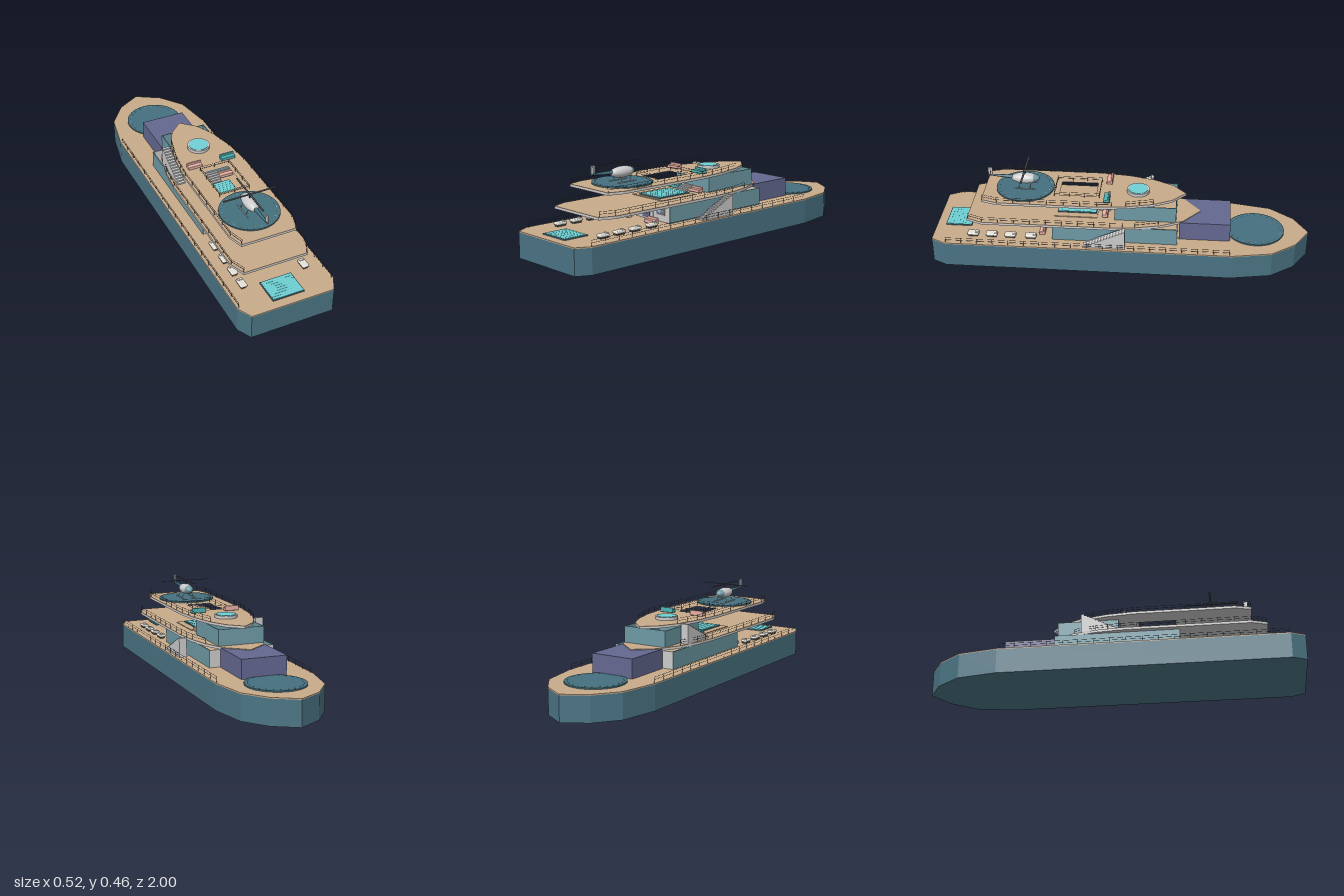
import * as THREE from 'three';
import { RoundedBoxGeometry } from 'three/addons/geometries/RoundedBoxGeometry.js';

const mat = (color, extra = {}) => new THREE.MeshStandardMaterial({ color, ...extra });
const M = {
  grey: mat(0xcccccc), hull: mat(0x4b7484), tan: mat(0xc8aa8a), pad: mat(0x44707f),
  glass: mat(0x6f9aa5, { side: THREE.DoubleSide }), purple: mat(0x646890), water: mat(0x6fd0d4),
  pink: mat(0xe8b0a4), teal: mat(0x4fb3b5), white: mat(0xe6e2da), dark: mat(0x4a4a4a),
};

export function createModel() {
  const root = new THREE.Group();
  root.name = 'yacht';

  const add = (name, geo, material, x = 0, y = 0, z = 0, parent = root) => {
    const m = new THREE.Mesh(geo, material);
    m.name = name;
    m.position.set(x, y, z);
    parent.add(m);
    return m;
  };
  // box given by its ranges on x, y and z
  const box = (name, material, [x0, x1], [y0, y1], [z0, z1], parent = root) =>
    add(name, new THREE.BoxGeometry(x1 - x0, y1 - y0, z1 - z0), material,
      (x0 + x1) / 2, (y0 + y1) / 2, (z0 + z1) / 2, parent);
  const disc = (name, material, r, y0, y1, x, z, parent = root) =>
    add(name, new THREE.CylinderGeometry(r, r, y1 - y0, 40), material, x, (y0 + y1) / 2, z, parent);
  // thin round bar between two points
  const bar = (name, material, a, b, r, parent = root) => {
    const p = new THREE.Vector3(...a), q = new THREE.Vector3(...b), d = q.clone().sub(p);
    const m = add(name, new THREE.CylinderGeometry(r, r, d.length(), 6), material, 0, 0, 0, parent);
    m.position.copy(p).add(q).multiplyScalar(0.5);
    m.quaternion.setFromUnitVectors(new THREE.Vector3(0, 1, 0), d.normalize());
    return m;
  };
  // flat slab from a half outline of [x, z], mirrored across x = 0
  const slab = (name, material, half, y0, y1, hole) => {
    const pts = [...half, ...half.filter(p => p[0] > 0).reverse().map(([x, z]) => [-x, z])];
    const shape = new THREE.Shape(pts.map(([x, z]) => new THREE.Vector2(x, -z)));
    if (hole) {
      const [w, z0, z1] = hole;
      shape.holes.push(new THREE.Path([[-w, -z0], [w, -z0], [w, -z1], [-w, -z1]].map(p => new THREE.Vector2(...p))));
    }
    const g = new THREE.ExtrudeGeometry(shape, { depth: y1 - y0, bevelEnabled: false });
    return add(name, g.rotateX(-Math.PI / 2), material, 0, y0, 0);
  };
  // railing along a path of [x, z]
  const railing = (name, path, y, h) => {
    const g = new THREE.Group();
    g.name = name;
    root.add(g);
    for (let i = 0; i < path.length - 1; i++) {
      const [ax, az] = path[i], [bx, bz] = path[i + 1];
      for (const f of [0.55, 1]) bar('rail', M.dark, [ax, y + h * f, az], [bx, y + h * f, bz], 0.0009, g);
      const n = Math.max(1, Math.round(Math.hypot(bx - ax, bz - az) / 0.085));
      for (let k = 0; k <= n; k++) {
        const x = ax + (bx - ax) * k / n, z = az + (bz - az) * k / n;
        bar('railPost', M.dark, [x, y, z], [x, y + h, z], 0.0012, g);
      }
    }
  };
  const mirrorRail = (name, path, y, h) => {
    for (const s of [-1, 1]) railing(name, path.map(([x, z]) => [s * x, z]), y, h);
  };

  // hull and three decks
  const hull = [[0, -1], [0.127, -0.925], [0.222, -0.8], [0.262, -0.59], [0.262, 0.925], [0.223, 1]];
  const deck2 = [[0, -0.42], [0.11, -0.33], [0.165, -0.21], [0.195, -0.08], [0.208, 0.05], [0.208, 0.73], [0.175, 0.815]];
  const deck3 = [[0, -0.34], [0.075, -0.27], [0.125, -0.17], [0.16, -0.03], [0.176, 0.12], [0.176, 0.65], [0.15, 0.735]];
  const opening = [0.07, 0.135, 0.33];
  slab('hull', M.hull, hull, 0, 0.133);
  slab('mainDeck', M.tan, hull, 0.133, 0.139);
  slab('middleDeckBase', M.grey, deck2, 0.231, 0.242);
  slab('middleDeck', M.tan, deck2, 0.242, 0.245);
  slab('upperDeckBase', M.grey, deck3, 0.336, 0.347, opening);
  slab('upperDeck', M.tan, deck3, 0.347, 0.35, opening);
  mirrorRail('mainRailing', [[0.253, -0.58], [0.253, 0.92]], 0.139, 0.028);
  mirrorRail('middleRailing', [[0.16, -0.2], [0.19, -0.08], [0.202, 0.05], [0.202, 0.73], [0.172, 0.808]], 0.245, 0.027);
  mirrorRail('upperRailing', [[0.12, -0.17], [0.155, -0.03], [0.17, 0.12], [0.17, 0.65], [0.146, 0.73]], 0.35, 0.027);
  railing('openingRailing', [[-0.083, 0.115], [-0.083, 0.355], [0.083, 0.355], [0.083, 0.115], [-0.083, 0.115]], 0.35, 0.025);

  // cabins with thin walls, and the forward cabin block
  for (const s of [-1, 1]) {
    box('lowerCabinSide', M.glass, [s * 0.177 - 0.003, s * 0.177 + 0.003], [0.139, 0.231], [-0.3, 0.36]);
    box('upperCabinSide', M.glass, [s * 0.125 - 0.002, s * 0.125 + 0.002], [0.245, 0.332], [-0.29, 0.03]);
  }
  box('lowerCabinFront', M.grey, [-0.174, 0.174], [0.139, 0.231], [0.35, 0.357]);
  box('lowerCabinBack', M.grey, [-0.179, 0.179], [0.139, 0.231], [-0.302, -0.296]);
  box('upperCabinFront', M.glass, [-0.127, 0.127], [0.245, 0.332], [0.026, 0.031]);
  box('upperCabinBack', M.glass, [-0.127, 0.127], [0.245, 0.332], [-0.293, -0.289]);
  box('forwardCabin', M.purple, [-0.122, 0.122], [0.139, 0.241], [-0.58, -0.31]);

  // double door in its surround
  box('doorSurround', M.grey, [-0.05, 0.05], [0.139, 0.231], [0.357, 0.36]);
  for (const s of [-1, 1]) {
    box('doorLeaf', M.purple, [s * 0.014 - 0.0136, s * 0.014 + 0.0136], [0.145, 0.229], [0.36, 0.363]);
    bar('doorHandle', M.grey, [s * 0.004, 0.165, 0.366], [s * 0.004, 0.203, 0.366], 0.0015);
  }

  // framed pictures either side of the door
  let seed = 7;
  const rnd = () => (seed = (seed * 16807) % 2147483647) / 2147483647;
  for (const s of [-1, 1]) {
    box('pictureFrame', M.tan, [s * 0.108 - 0.031, s * 0.108 + 0.031], [0.172, 0.217], [0.357, 0.36]);
    box('pictureCanvas', M.purple, [s * 0.108 - 0.028, s * 0.108 + 0.028], [0.175, 0.214], [0.36, 0.361]);
    for (let i = 0; i < 14; i++) {
      add('pictureSpot', new THREE.CircleGeometry(0.003 + rnd() * 0.002, 8), [M.pink, M.white, M.teal][i % 3],
        s * 0.108 + (rnd() - 0.5) * 0.04, 0.195 + (rnd() - 0.5) * 0.026, 0.3615 + i * 0.0001);
    }
  }

  // solid stairs climbing towards -z
  const stairs = (name, x, w, y0, y1, z0, z1, n, parent = root) => {
    const s = new THREE.Shape();
    s.moveTo(-z0, y0);
    for (let i = 0; i < n; i++) {
      const y = y0 + (y1 - y0) * (i + 1) / n;
      s.lineTo(-(z0 + (z1 - z0) * i / n), y);
      s.lineTo(-(z0 + (z1 - z0) * (i + 1) / n), y);
    }
    s.lineTo(-z1, y0);
    const g = new THREE.ExtrudeGeometry(s, { depth: w, bevelEnabled: false }).rotateY(Math.PI / 2);
    add(name, g, M.grey, x - w / 2, 0, 0, parent);
  };
  stairs('lowerStairs', 0.223, 0.042, 0.139, 0.243, 0.19, -0.03, 14);
  stairs('upperStairs', -0.16, 0.042, 0.245, 0.349, 0.05, -0.16, 14);
  stairs('poolSteps', 0, 0.08, 0.245, 0.278, 0.12, 0.06, 5);

  // pools with a raised rim
  const pool = (name, y, w, z0, z1, lines) => {
    const g = new THREE.Group();
    g.name = name;
    root.add(g);
    box('poolRim', M.pad, [-w - 0.004, w + 0.004], [y, y + 0.006], [z0 - 0.004, z1 + 0.004], g);
    box('poolWater', M.water, [-w, w], [y + 0.001, y + 0.0075], [z0, z1], g);
    for (let i = 1; i < lines; i++) {
      const z = z0 + (z1 - z0) * i / lines;
      box('poolLine', M.teal, [-w, w], [y + 0.007, y + 0.0079], [z - 0.0006, z + 0.0006], g);
    }
  };
  box('middlePoolBase', M.tan, [-0.118, 0.118], [0.245, 0.249], [0.125, 0.355]);
  pool('mainPool', 0.139, 0.082, 0.815, 0.948, 8);
  pool('middlePool', 0.249, 0.076, 0.135, 0.335, 12);

  // round tub on the upper deck
  disc('tubWall', M.grey, 0.06, 0.35, 0.366, 0, -0.085);
  disc('tubWater', M.water, 0.052, 0.352, 0.368, 0, -0.085);

  // helicopter pads with edge lights
  const pad = (name, y, z) => {
    disc(name, M.pad, 0.155, y, y + 0.007, 0, z);
    for (let i = 0; i < 24; i++) {
      const a = i * Math.PI / 12;
      disc('padLight', M.grey, 0.0025, y + 0.006, y + 0.009, Math.cos(a) * 0.138, z + Math.sin(a) * 0.138);
    }
  };
  pad('bowPad', 0.139, -0.715);
  pad('upperPad', 0.35, 0.52);

  // sofas: base, seat cushion and backrest
  const sofa = (material, x, y, z, w = 0.08, h = 0.025) => {
    const g = new THREE.Group();
    g.name = 'sofa';
    g.position.set(x, y, z);
    root.add(g);
    add('sofaSeat', new RoundedBoxGeometry(w, h * 0.6, 0.03, 2, 0.003), material, 0, h * 0.3 + 0.002, 0, g);
    add('sofaBack', new RoundedBoxGeometry(w, h, 0.01, 2, 0.003), material, 0, h * 0.5 + 0.002, -0.012, g);
  };
  sofa(M.pink, -0.095, 0.35, 0.075, 0.08, 0.028);
  sofa(M.teal, 0.095, 0.35, 0.075, 0.08, 0.028);
  sofa(M.teal, -0.08, 0.249, 0.085, 0.078, 0.028);
  sofa(M.pink, 0.08, 0.249, 0.085, 0.078, 0.028);
  sofa(M.white, -0.106, 0.139, 0.42, 0.088, 0.024);
  sofa(M.pink, 0.105, 0.139, 0.42, 0.078, 0.031);

  // sun loungers along both sides
  for (const s of [-1, 1]) for (const z of [0.785, 0.685, 0.585, 0.475]) {
    add('loungerBase', new THREE.BoxGeometry(0.026, 0.012, 0.05), M.dark, s * 0.171, 0.145, z);
    add('loungerCushion', new RoundedBoxGeometry(0.037, 0.014, 0.062, 3, 0.006), M.white, s * 0.171, 0.154, z);
    add('loungerPillow', new RoundedBoxGeometry(0.028, 0.006, 0.014, 2, 0.003), M.white, s * 0.171, 0.162, z - 0.02);
  }

  // helicopter, nose towards -z
  const heli = new THREE.Group();
  heli.name = 'helicopter';
  heli.position.set(0, 0.405, 0.52);
  root.add(heli);
  const body = new THREE.SphereGeometry(1, 28, 18);
  add('body', body, M.grey, 0, 0, 0, heli).scale.set(0.033, 0.029, 0.075);
  const nose = new THREE.SphereGeometry(1, 24, 10, 0, Math.PI * 2, 0, 0.95).rotateX(-Math.PI / 2);
  add('cockpitGlass', nose, M.glass, 0, 0.001, -0.001, heli).scale.set(0.0335, 0.0295, 0.076);
  const boom = new THREE.CylinderGeometry(0.004, 0.011, 0.14, 12).rotateX(Math.PI / 2);
  add('tailBoom', boom, M.pad, 0, 0.007, 0.125, heli).rotation.x = -0.05;
  box('tailFin', M.grey, [-0.0025, 0.0025], [0.006, 0.055], [0.175, 0.198], heli);
  box('tailRotor', M.dark, [0.003, 0.005], [0.012, 0.05], [0.184, 0.188], heli);
  bar('mast', M.dark, [0, 0.025, 0], [0, 0.054, 0], 0.004, heli);
  box('rotorBlade', M.dark, [-0.145, 0.145], [0.049, 0.051], [-0.005, 0.005], heli);
  box('rotorBlade', M.dark, [-0.005, 0.005], [0.049, 0.051], [-0.145, 0.145], heli);
  for (const s of [-1, 1]) {
    bar('skid', M.grey, [s * 0.036, -0.046, -0.06], [s * 0.036, -0.046, 0.055], 0.0025, heli);
    for (const z of [-0.03, 0.03]) bar('skidLeg', M.grey, [s * 0.02, -0.016, z], [s * 0.036, -0.046, z], 0.002, heli);
  }
  return root;
}
